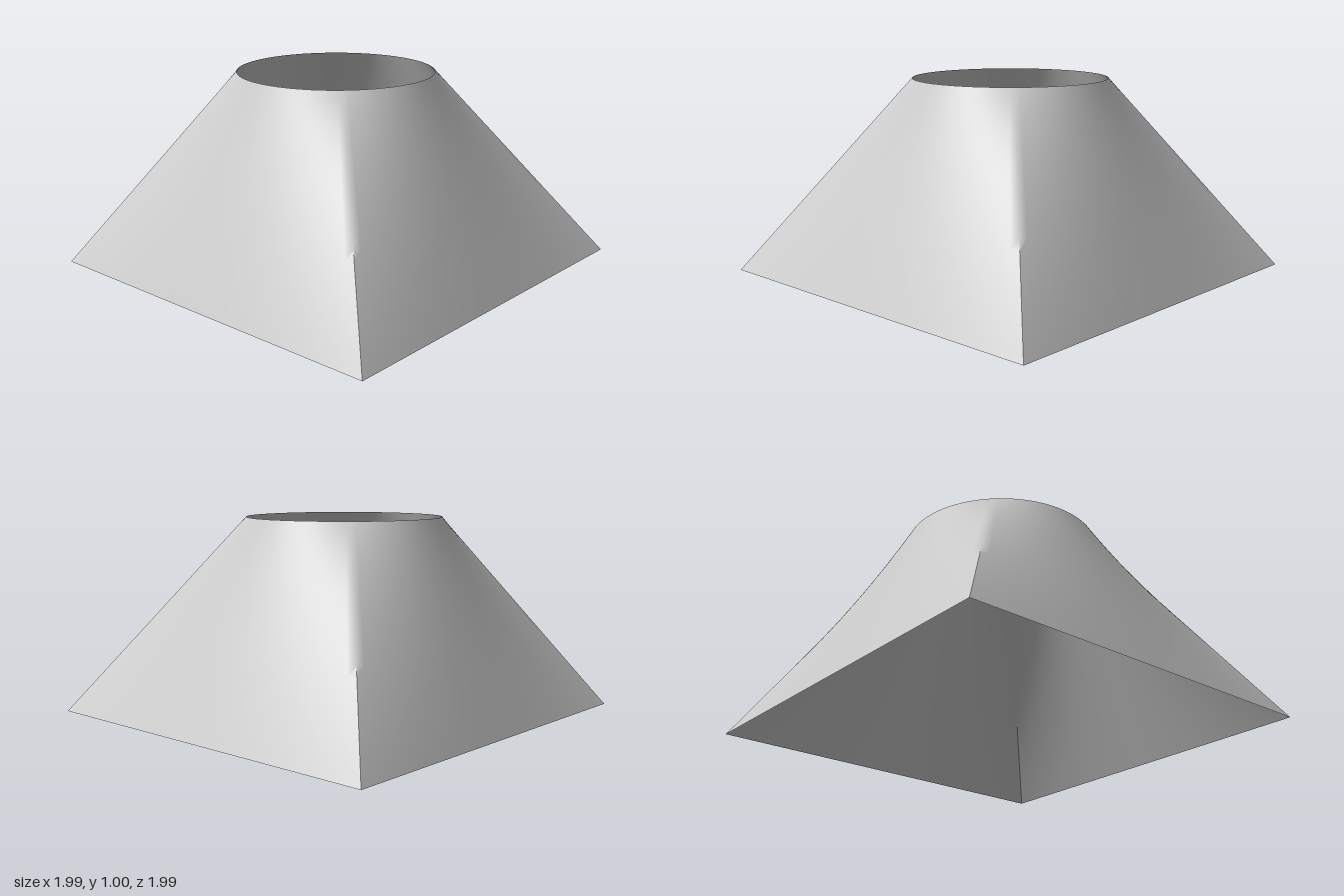
import * as THREE from 'three';
import { mergeVertices, toCreasedNormals } from 'three/addons/utils/BufferGeometryUtils.js';

const PER_SIDE = 32, ROWS = 24;
const HEIGHT = 1, HALF = 0.997, RADIUS = 0.5, OFFSET = -0.015;

// Point on the shell: u runs round the outline, t rises from square to circle
function shellPoint(i, t) {
  const side = Math.floor(i / PER_SIDE) % 4;
  const s = (i % PER_SIDE) / PER_SIDE;
  const turn = side * Math.PI / 2;
  // One side of the square, turned into place
  const c = Math.round(Math.cos(turn)), n = Math.round(Math.sin(turn));
  const px = HALF * (2 * s - 1), pz = HALF;
  const square = [px * c + pz * n, -px * n + pz * c];
  // The matching point on the round opening
  const angle = turn + (s - 0.5) * Math.PI / 2;
  const circle = [OFFSET + RADIUS * Math.sin(angle), OFFSET + RADIUS * Math.cos(angle)];
  return [
    THREE.MathUtils.lerp(square[0], circle[0], t),
    HEIGHT * t,
    THREE.MathUtils.lerp(square[1], circle[1], t),
  ];
}

// Straight-ruled, open-ended transition from square to round
function transitionGeometry() {
  const around = PER_SIDE * 4;
  const positions = [], index = [];
  for (let r = 0; r <= ROWS; r++) {
    for (let i = 0; i < around; i++) positions.push(...shellPoint(i, r / ROWS));
  }
  for (let r = 0; r < ROWS; r++) {
    for (let i = 0; i < around; i++) {
      const j = (i + 1) % around;
      const a = r * around + i, b = r * around + j;
      const d = a + around, e = b + around;
      index.push(a, b, e, a, e, d);
    }
  }
  const geometry = new THREE.BufferGeometry();
  geometry.setAttribute('position', new THREE.Float32BufferAttribute(positions, 3));
  geometry.setIndex(index);
  // Corners are sharp near the base and soften towards the round opening
  return mergeVertices(toCreasedNormals(geometry, 1.0));
}

export function createModel() {
  const group = new THREE.Group();
  group.name = 'squareToRoundTransition';
  const material = new THREE.MeshStandardMaterial({ color: 0xcccccc, side: THREE.DoubleSide });
  const shell = new THREE.Mesh(transitionGeometry(), material);
  shell.name = 'transitionShell';
  group.add(shell);
  return group;
}
